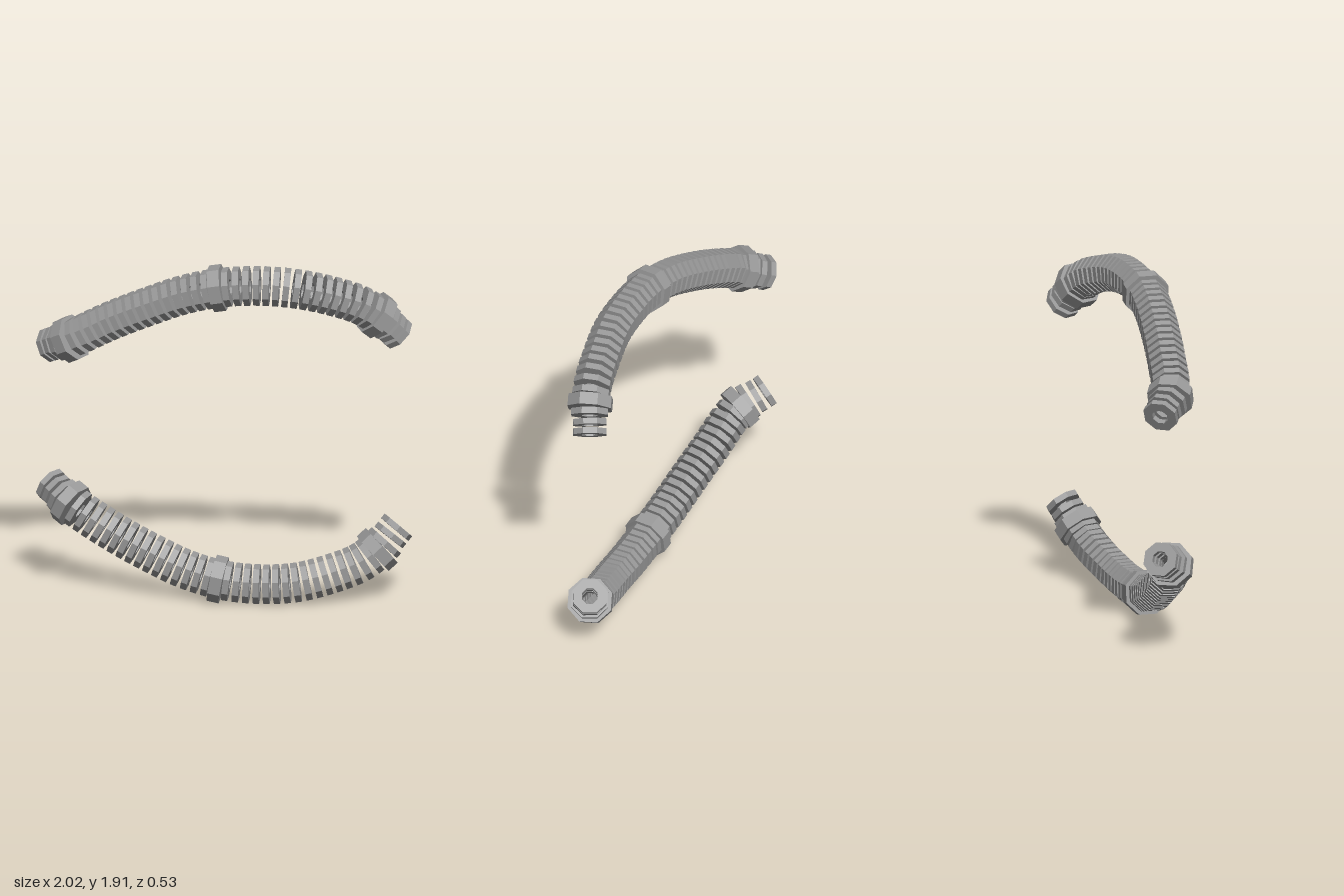
import * as THREE from 'three';

// Flat-faced octagonal washer with its axis along y
function washer(outer, inner, thickness) {
  const h = thickness / 2;
  const profile = [[inner, -h], [outer, -h], [outer, h], [inner, h], [inner, -h]]
    .map(([x, y]) => new THREE.Vector2(x, y));
  const geometry = new THREE.LatheGeometry(profile, 8, Math.PI / 8).toNonIndexed();
  geometry.computeVertexNormals();
  return geometry;
}

// Centre line of the upper arc
const PATH = [
  [-0.925, 1.36, -0.19], [-0.81, 1.435, -0.08], [-0.6, 1.56, -0.01], [-0.4, 1.66, 0.045],
  [-0.2, 1.745, 0.09], [0, 1.795, 0.125], [0.2, 1.81, 0.145], [0.4, 1.795, 0.155],
  [0.6, 1.745, 0.14], [0.74, 1.69, 0.125], [0.845, 1.61, 0.1], [0.93, 1.515, 0.065],
];
const MID_Y = 0.958;
const LAST = 40;

export function createModel() {
  const grey = new THREE.MeshStandardMaterial({ color: 0x999999 });
  grey.name = 'grey';

  const parts = {
    rib: washer(0.107, 0.045, 0.034),
    collar: washer(0.127, 0.045, 0.066),
    endRing: washer(0.097, 0.045, 0.032),
  };

  // One arc of separate rings threaded along the centre line
  function hose(name, mirrored) {
    const group = new THREE.Group();
    group.name = name;
    const curve = new THREE.CatmullRomCurve3(PATH.map(([x, y, z]) =>
      new THREE.Vector3(x, mirrored ? 2 * MID_Y - y : y, z)));
    for (let i = 0; i <= LAST; i++) {
      const fromEnd = Math.min(i, LAST - i);
      const kind = fromEnd === 3 || i === LAST / 2 ? 'collar' : fromEnd < 2 ? 'endRing' : 'rib';
      const mesh = new THREE.Mesh(parts[kind], grey);
      mesh.name = kind;
      mesh.position.copy(curve.getPointAt(i / LAST));
      const along = curve.getTangentAt(i / LAST);
      const up = new THREE.Vector3(0, 1, 0).addScaledVector(along, -along.y).normalize();
      const side = new THREE.Vector3().crossVectors(along, up);
      mesh.quaternion.setFromRotationMatrix(new THREE.Matrix4().makeBasis(side, along, up));
      group.add(mesh);
    }
    return group;
  }

  const model = new THREE.Group();
  model.name = 'ribbedHoses';
  model.add(hose('upperHose', false), hose('lowerHose', true));
  return model;
}
